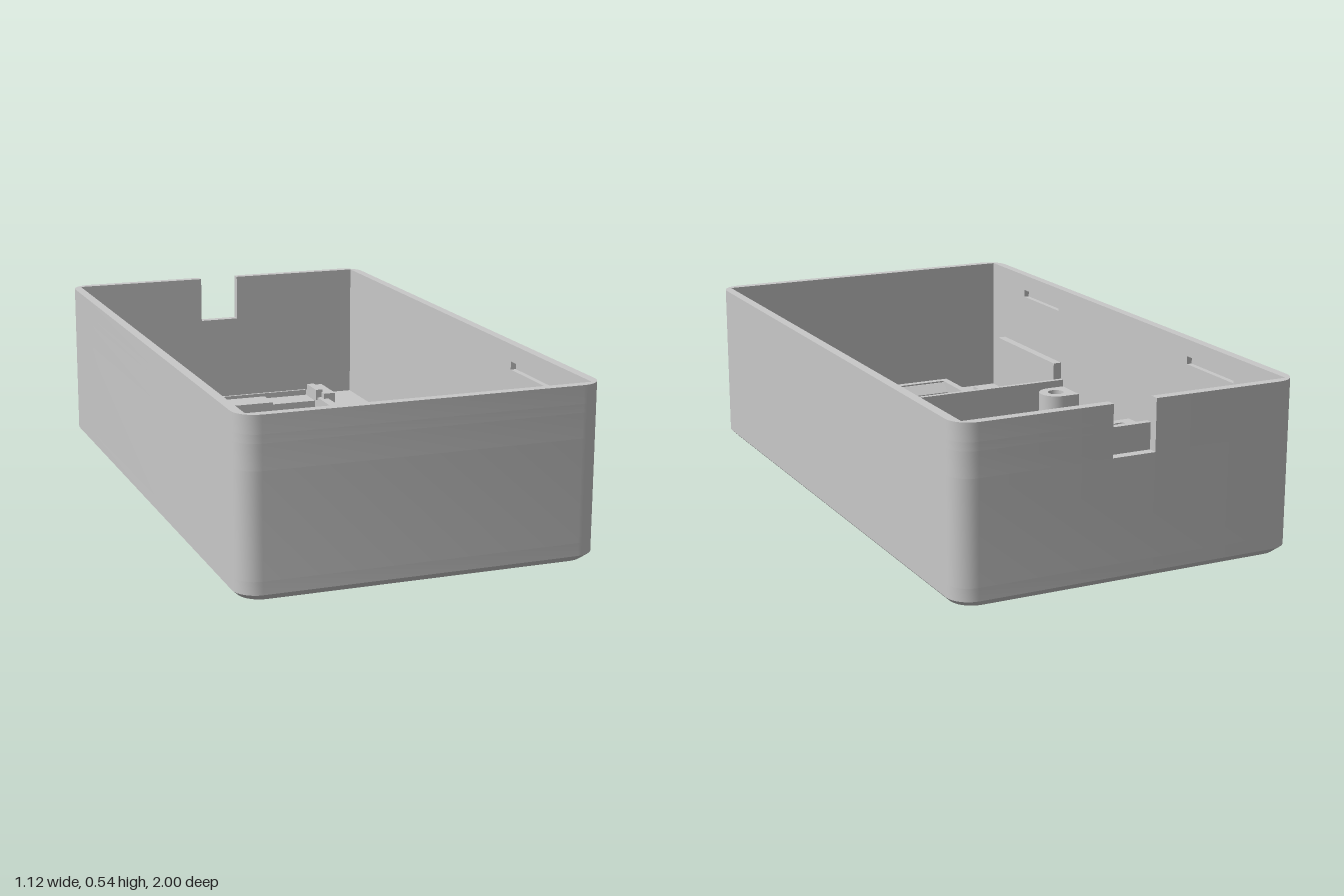
import * as THREE from 'three';
import { toCreasedNormals } from 'three/addons/utils/BufferGeometryUtils.js';

const W = 0.56, L = 1, H = 0.54;      // outer half width, half length, height
const IW = 0.53, IL = 0.97;           // inner half width, half length
const R = 0.07, FLOOR = 0.06, NOTCH = 0.07;

export function createModel() {
  const model = new THREE.Group();
  const grey = new THREE.MeshStandardMaterial({ color: 0xc8c8c8 });
  grey.name = 'plastic grey';

  const add = (name, geo) => {
    const mesh = new THREE.Mesh(geo, grey);
    mesh.name = name;
    model.add(mesh);
  };

  // Box given by its limits
  const box = (name, x0, x1, y0, y1, z0, z1) => {
    const g = new THREE.BoxGeometry(x1 - x0, y1 - y0, z1 - z0);
    g.translate((x0 + x1) / 2, (y0 + y1) / 2, (z0 + z1) / 2);
    add(name, g);
  };

  // Same box on both sides
  const pair = (name, x0, x1, ...rest) => {
    box(name + 'Left', x0, x1, ...rest);
    box(name + 'Right', -x1, -x0, ...rest);
  };

  // Plan points are [x, z]; holes run anticlockwise seen from above
  const vec = ([x, z]) => new THREE.Vector2(x, -z);
  const rect = (x0, x1, z0, z1) => [[x0, z0], [x0, z1], [x1, z1], [x1, z0]];
  const slab = (points, holes, y0, y1) => {
    const shape = new THREE.Shape(points.map(vec));
    for (const h of holes) shape.holes.push(new THREE.Path(h.map(vec)));
    const g = new THREE.ExtrudeGeometry(shape, { depth: y1 - y0, bevelEnabled: false });
    g.rotateX(-Math.PI / 2);
    g.translate(0, y0, 0);
    return g;
  };
  const smooth = (g) => toCreasedNormals(g, 0.5);

  // Rounded outer outline, clockwise from the back edge
  const outline = [];
  [[1, -1, -90], [1, 1, 0], [-1, 1, 90], [-1, -1, 180]].forEach(([sx, sz, start]) => {
    for (let i = 0; i <= 8; i++) {
      const a = THREE.MathUtils.degToRad(start + i * 90 / 8);
      outline.push([sx * (W - R) + R * Math.cos(a), sz * (L - R) + R * Math.sin(a)]);
    }
  });

  // Floor: chamfered lower layer, then upper layer with a blind pocket
  const windows = [rect(-0.345, 0.345, -0.86, -0.355), rect(-0.4, 0.36, -0.075, 0.29)];
  const pocket = rect(-0.24, 0.23, 0.54, 0.87);
  const base = slab(outline, windows, 0, 0.02);
  const p = base.attributes.position;
  for (let i = 0; i < p.count; i++) {
    const x = p.getX(i), z = p.getZ(i);
    if (p.getY(i) < 0.01 && (Math.abs(x) > 0.45 || Math.abs(z) > 0.9)) {
      p.setX(i, x * (W - 0.02) / W);
      p.setZ(i, z * (L - 0.02) / L);
    }
  }
  add('floorChamfer', smooth(base));
  add('floor', smooth(slab(outline, [...windows, pocket], 0.02, FLOOR)));

  // Walls: closed ring below, notched ring above, with one slotted layer
  add('lowerWalls', smooth(slab(outline, [rect(-IW, IW, -IL, IL)], FLOOR, 0.38)));
  const slot = (side, z0, z1) => {
    const x = side * IW, d = side * (IW + 0.018);
    return [[x, z0], [d, z0], [d, z1], [x, z1]];
  };
  const notchedRing = (slotted) => [
    [NOTCH, -L], ...outline, [-NOTCH, -L], [-NOTCH, -IL], [-IW, -IL],
    ...(slotted ? [...slot(-1, -0.7, -0.43), ...slot(-1, 0.44, 0.71)] : []),
    [-IW, IL], [IW, IL],
    ...(slotted ? slot(1, 0.71, 0.44) : []),
    [IW, -IL], [NOTCH, -IL],
  ];
  add('notchedWalls', smooth(slab(notchedRing(false), [], 0.38, 0.458)));
  add('slottedWalls', smooth(slab(notchedRing(true), [], 0.458, 0.484)));
  add('rimWalls', smooth(slab(notchedRing(false), [], 0.484, H)));

  // Partitions and side ribs
  box('backPartition', -IW, IW, FLOOR, 0.21, -0.22, -0.195);
  box('frontPartition', -IW, IW, FLOOR, 0.21, 0.4, 0.417);
  pair('sideRib', 0.5, IW, FLOOR, 0.27, 0.417, 0.87);

  // Four screw posts, rounded inwards and joined to the side walls
  for (const side of [-1, 1]) for (const z of [-0.135, 0.34]) {
    const cx = 0.468, r = 0.06;
    const body = [[side * IW, z - r]], hole = [];
    for (let i = 0; i <= 16; i++) {
      const a = -Math.PI / 2 + i * Math.PI / 16;
      body.push([side * (cx - r * Math.cos(a)), z + r * Math.sin(a)]);
    }
    body.push([side * IW, z + r]);
    for (let i = 0; i < 20; i++) {
      const a = i * Math.PI / 10;
      hole.push([side * cx + 0.029 * Math.cos(a), z - 0.029 * Math.sin(a)]);
    }
    add('screwPost', smooth(slab(body, [hole], FLOOR, 0.185)));
  }

  // Back holder around the large window
  pair('backHolderRail', 0.345, 0.378, FLOOR, 0.08, -0.965, -0.225);
  box('backHolderEnd', -0.345, 0.345, FLOOR, 0.08, -0.25, -0.22);
  box('backHolderWall', -0.345, 0.345, FLOOR, 0.08, -0.97, -0.96);
  pair('backHolderTab', 0.2, 0.325, FLOOR, 0.075, -0.28, -0.25);
  pair('backClip', 0.36, 0.405, FLOOR, 0.1, -0.95, -0.8);
  pair('backClipCatch', 0.338, 0.365, 0.07, 0.11, -0.93, -0.83);
  box('backLedge', -0.18, 0.175, FLOOR, 0.068, -0.96, -0.86);

  // Front holder around the pocket
  pair('frontHolderRail', 0.29, 0.315, FLOOR, 0.11, 0.5, 0.945);
  box('frontHolderEnd', -0.29, 0.29, FLOOR, 0.11, 0.92, 0.945);
  pair('frontClip', 0.3, 0.34, FLOOR, 0.15, 0.505, 0.655);
  pair('frontClipCatch', 0.278, 0.305, 0.1, 0.16, 0.53, 0.63);
  pair('cornerClip', 0.195, 0.275, FLOOR, 0.15, 0.44, 0.49);
  pair('cornerClipStep', 0.275, 0.315, FLOOR, 0.15, 0.46, 0.505);
  pair('cornerClipCatch', 0.2, 0.27, 0.11, 0.16, 0.48, 0.51);

  // Sloped retaining bar in front of the pocket
  const bar = new THREE.Shape([[-0.88, FLOOR], [-0.88, 0.075], [-0.915, 0.105], [-0.92, 0.105], [-0.92, FLOOR]]
    .map(([x, y]) => new THREE.Vector2(x, y)));
  const barGeo = new THREE.ExtrudeGeometry(bar, { depth: 0.58, bevelEnabled: false });
  barGeo.translate(0, 0, -0.29);
  barGeo.rotateY(Math.PI / 2);
  add('retainingBar', barGeo);
  return model;
}
